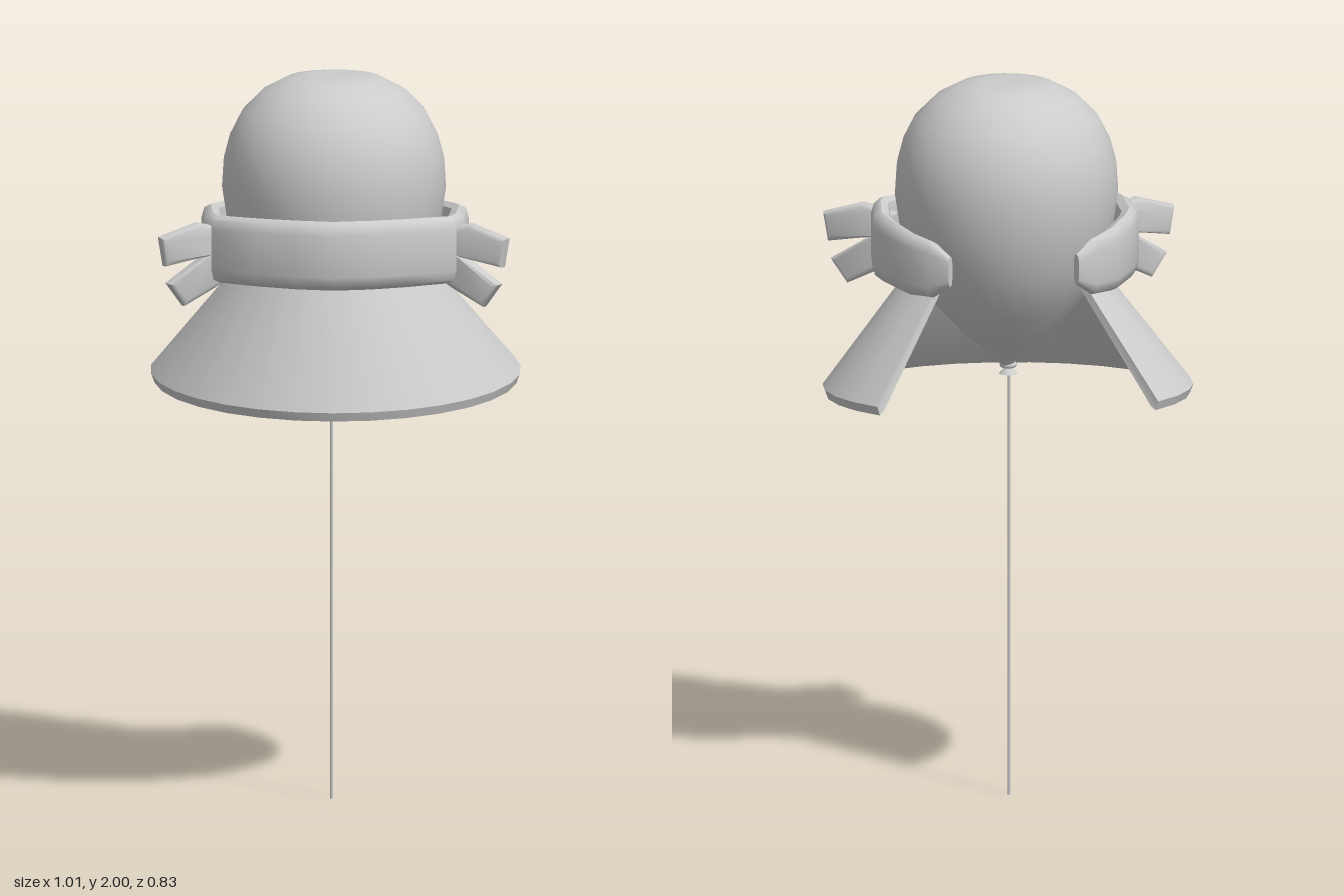
import * as THREE from 'three';
import { toCreasedNormals } from 'three/addons/utils/BufferGeometryUtils.js';

const material = new THREE.MeshStandardMaterial({ color: 0xcccccc, side: THREE.DoubleSide });

function part(name, geometry, x = 0, y = 0, z = 0) {
  const mesh = new THREE.Mesh(geometry, material);
  mesh.name = name;
  mesh.position.set(x, y, z);
  return mesh;
}

// Skin a list of equal-sized closed rings of Vector3 and cap both ends.
function loft(rings, crease) {
  const n = rings[0].length, last = rings.length - 1;
  const pos = [], index = [];
  rings.forEach(r => r.forEach(p => pos.push(p.x, p.y, p.z)));
  for (let i = 0; i < last; i++) {
    for (let j = 0; j < n; j++) {
      const a = i * n + j, b = i * n + (j + 1) % n;
      index.push(a, b, b + n, a, b + n, a + n);
    }
  }
  for (const i of [0, last]) {
    const c = rings[i].reduce((s, p) => s.add(p), new THREE.Vector3()).divideScalar(n);
    const k = pos.length / 3;
    pos.push(c.x, c.y, c.z);
    for (let j = 0; j < n; j++) {
      const a = i * n + j, b = i * n + (j + 1) % n;
      if (i === 0) index.push(k, b, a); else index.push(k, a, b);
    }
  }
  const g = new THREE.BufferGeometry();
  g.setAttribute('position', new THREE.Float32BufferAttribute(pos, 3));
  g.setIndex(index);
  return toCreasedNormals(g.toNonIndexed(), crease);
}

// Teardrop balloon with a flattened crown
function balloonGeometry() {
  const profile = [
    [0.012, 1.2], [0.03, 1.225], [0.115, 1.295], [0.2, 1.385], [0.257, 1.49], [0.29, 1.59],
    [0.305, 1.69], [0.3, 1.77], [0.283, 1.835], [0.25, 1.9], [0.195, 1.955], [0.13, 1.99],
    [0.07, 2.0], [0, 1.996],
  ].map(([r, y]) => new THREE.Vector2(r, y));
  return new THREE.LatheGeometry(profile, 28);
}

// Flared collar, open at the back, its hem dipping toward the front
function collarGeometry() {
  const rings = [], steps = 22, half = 2.28;
  for (let i = 0; i <= steps; i++) {
    const a = -half + (2 * half * i) / steps;
    const at = (r, cz, dy) => {
      const z = cz + r * Math.cos(a);
      return new THREE.Vector3(r * Math.sin(a), dy + 1.14 - 0.07 * z, z);
    };
    const top = (r, y) => new THREE.Vector3(r * Math.sin(a), y, -0.02 + r * Math.cos(a));
    rings.push([top(0.262, 1.475), at(0.505, -0.09, 0.025), at(0.496, -0.09, 0), at(0.482, -0.09, 0.008), top(0.245, 1.465)]);
  }
  return loft(rings, 0.7);
}

// Thick band around the front and sides: x, z, bottom, top, half thickness
function bandGeometry() {
  const side = [
    [0.1, 0.282, 1.455, 1.645, 0.025], [0.2, 0.24, 1.455, 1.643, 0.025],
    [0.315, 0.175, 1.455, 1.64, 0.026], [0.33, 0.13, 1.455, 1.64, 0.026],
    [0.338, -0.01, 1.455, 1.64, 0.026], [0.322, -0.07, 1.453, 1.635, 0.025],
    [0.275, -0.18, 1.45, 1.625, 0.024], [0.215, -0.242, 1.455, 1.61, 0.02],
    [0.172, -0.272, 1.49, 1.575, 0.01],
  ];
  const path = [
    ...side.slice().reverse().map(([x, ...rest]) => [-x, ...rest]),
    [0, 0.302, 1.455, 1.645, 0.026],
    ...side,
  ];
  const rings = path.map(([x, z, lo, hi, t], i) => {
    const p = path[Math.max(i - 1, 0)], q = path[Math.min(i + 1, path.length - 1)];
    const out = new THREE.Vector2(-(q[1] - p[1]), q[0] - p[0]).normalize();
    const h = hi - lo;
    return [[0, 1], [0.7, 0.95], [1, 0.8], [1, 0.2], [0.7, 0.05], [0, 0], [-0.8, 0.06], [-1, 0.25], [-1, 0.75], [-0.8, 0.94]]
      .map(([o, v]) => new THREE.Vector3(x + out.x * o * t, lo + v * h, z + out.y * o * t));
  });
  return loft(rings, 0.9);
}

// Pair of forked tails sticking out of each side of the band
function tailGeometry(side) {
  const outline = [
    [-0.02, 1.6], [0.03, 1.61], [0.08, 1.622], [0.192, 1.588], [0.178, 1.508],
    [0.06, 1.528], [0.17, 1.46], [0.122, 1.395], [0.03, 1.44], [-0.02, 1.47],
  ].map(([x, y]) => new THREE.Vector2(side * x, y));
  const g = new THREE.ExtrudeGeometry(new THREE.Shape(outline), {
    depth: 0.018, bevelEnabled: true, bevelThickness: 0.013, bevelSize: 0.013, bevelOffset: -0.013, bevelSegments: 2,
  });
  g.translate(0, 0, -0.009);
  return toCreasedNormals(g, 0.8);
}

export function createModel() {
  const model = new THREE.Group();
  model.name = 'balloonWithBandAndCollar';

  model.add(part('balloon', balloonGeometry(), -0.003, 0, -0.007));
  model.add(part('collar', collarGeometry()));
  model.add(part('band', bandGeometry()));

  for (const side of [1, -1]) {
    const tails = part(side > 0 ? 'leftTails' : 'rightTails', tailGeometry(side), side * 0.3, 0, 0.152);
    tails.rotation.y = -0.42 * side;
    model.add(tails);
  }

  // Tied neck: rolled ring and a small flared lip
  const ring = new THREE.TorusGeometry(0.016, 0.008, 8, 14);
  ring.rotateX(Math.PI / 2);
  model.add(part('knot', ring, -0.008, 1.205, -0.003));
  model.add(part('neckLip', new THREE.CylinderGeometry(0.008, 0.026, 0.02, 12, 1, true), -0.008, 1.19, -0.003));

  // String
  model.add(part('string', new THREE.CylinderGeometry(0.004, 0.004, 1.2, 8), -0.01, 0.6, -0.002));
  return model;
}
